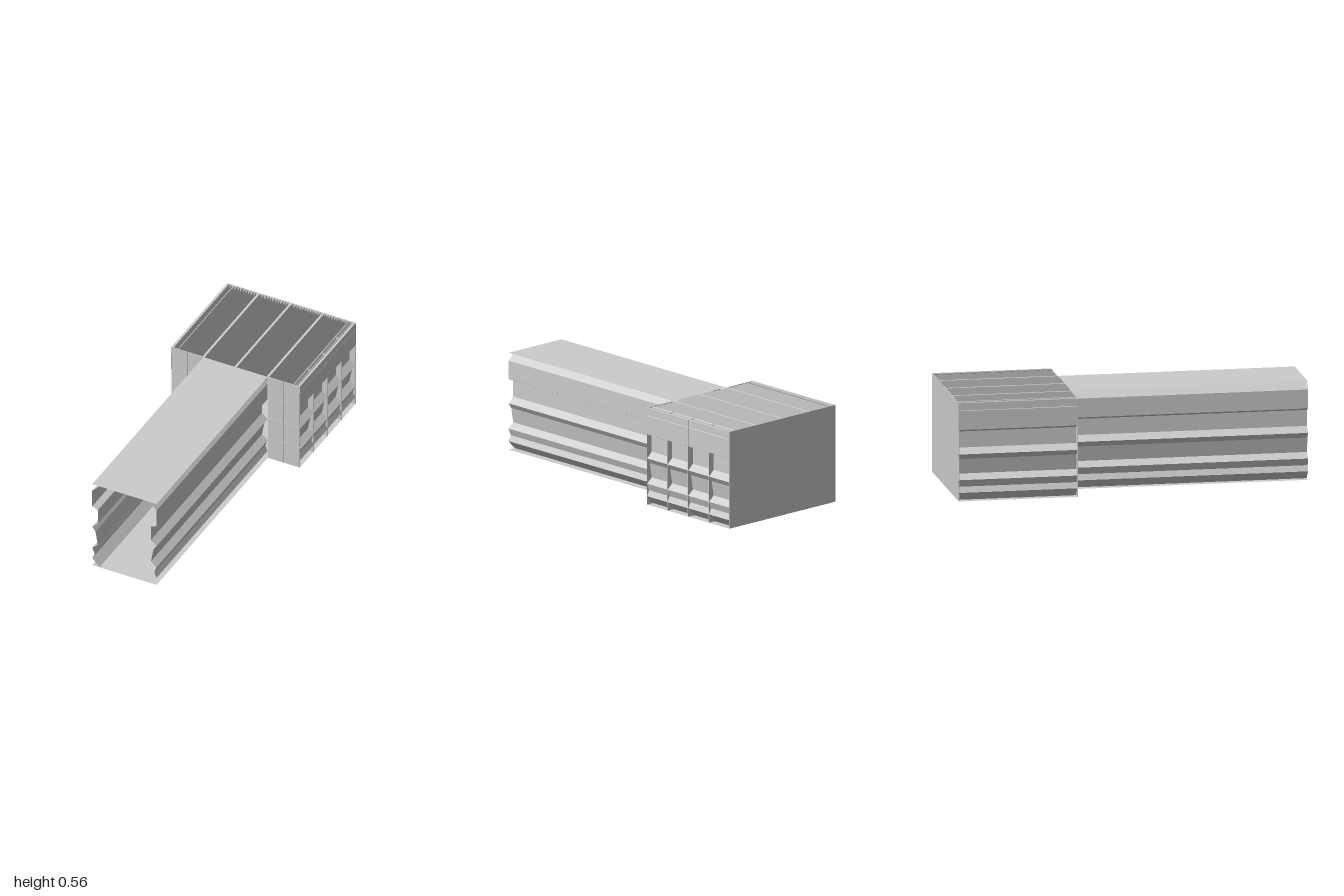
import * as THREE from 'three';

const H = 0.555, ROOM_FRONT = -0.33, BACK = -1, FRONT = 1;
const mat = new THREE.MeshStandardMaterial({ color: 0xcccccc, side: THREE.DoubleSide, flatShading: true });

// Folded wall section: [inset from the outer line, height]
const PROFILE = [
  [0.045, 0], [0, 0.048], [0.015, 0.08], [0, 0.12], [0.035, 0.15], [0.02, 0.235],
  [0, 0.265], [0.035, 0.297], [0.035, 0.388], [0, 0.403], [0, 0.51], [0.045, H],
];

function add(parent, name, geometry, x = 0, y = 0, z = 0) {
  const mesh = new THREE.Mesh(geometry, mat);
  mesh.name = name;
  mesh.position.set(x, y, z);
  parent.add(mesh);
  return mesh;
}

// Horizontal sheet between two x and two z limits
function sheet(parent, name, x0, x1, z0, z1, y) {
  const g = new THREE.PlaneGeometry(x1 - x0, z1 - z0).rotateX(-Math.PI / 2);
  return add(parent, name, g, (x0 + x1) / 2, y, (z0 + z1) / 2);
}

// Folded sheet running along z; side is +1 (left) or -1 (right)
function foldedWall(parent, name, side, outer, z0, z1) {
  const pos = [], index = [];
  PROFILE.forEach(([d, y], i) => {
    const x = side * (outer - d);
    pos.push(x, y, z0, x, y, z1);
    if (i) {
      const a = 2 * i - 2, b = a + 1, c = a + 2, e = a + 3;
      if (side > 0) index.push(a, c, b, b, c, e);
      else index.push(a, b, c, b, e, c);
    }
  });
  const g = new THREE.BufferGeometry();
  g.setAttribute('position', new THREE.Float32BufferAttribute(pos, 3));
  g.setIndex(index);
  const flat = g.toNonIndexed();
  flat.computeVertexNormals();
  return add(parent, name, flat);
}

// Grid of thin tiles in front of a backing sheet
function tiledWall(parent, name, x0, x1, z, tileZ) {
  const group = new THREE.Group();
  group.name = name;
  parent.add(group);
  add(group, 'backing', new THREE.PlaneGeometry(x1 - x0, H), (x0 + x1) / 2, H / 2, z);
  const cols = Math.round((x1 - x0) / 0.1), w = (x1 - x0) / cols, h = H / 4;
  const tile = new THREE.BoxGeometry(w - 0.003, h - 0.002, 0.004);
  for (let i = 0; i < cols; i++)
    for (let j = 0; j < 4; j++)
      add(group, 'tile', tile, x0 + (i + 0.5) * w, (j + 0.5) * h, tileZ);
}

export function createModel() {
  const model = new THREE.Group();
  model.name = 'corridorAndRoom';

  // Corridor
  const corridor = new THREE.Group();
  corridor.name = 'corridor';
  model.add(corridor);
  sheet(corridor, 'corridorFloor', -0.2, 0.2, ROOM_FRONT, FRONT, 0);
  sheet(corridor, 'corridorCeiling', -0.2, 0.2, ROOM_FRONT, FRONT, H);
  for (const side of [-1, 1]) foldedWall(corridor, 'corridorWall', side, 0.2, ROOM_FRONT, FRONT);

  // Room shell
  const room = new THREE.Group();
  room.name = 'room';
  model.add(room);
  sheet(room, 'roomFloor', -0.4, 0.4, BACK, ROOM_FRONT, 0);
  for (const side of [-1, 1]) foldedWall(room, 'roomSideWall', side, 0.4, BACK, ROOM_FRONT);
  tiledWall(room, 'backWall', -0.4, 0.4, BACK, BACK + 0.004);
  tiledWall(room, 'frontWallRight', -0.4, -0.2, ROOM_FRONT - 0.004, ROOM_FRONT - 0.002);
  tiledWall(room, 'frontWallLeft', 0.2, 0.4, ROOM_FRONT - 0.004, ROOM_FRONT - 0.002);

  // Upright ribs filling the folds of the left side wall
  const outline = PROFILE.map(([d, y]) => new THREE.Vector2(0.4 - d, y));
  outline.push(new THREE.Vector2(0.4005, H), new THREE.Vector2(0.4005, 0));
  const rib = new THREE.ExtrudeGeometry(new THREE.Shape(outline), { depth: 0.004, bevelEnabled: false });
  for (let i = 1; i < 4; i++) add(room, 'wallRib', rib, 0, 0, ROOM_FRONT - i * 0.1675 - 0.002);

  // Slatted roof: lower panel, beams and thin upright slats
  const depth = ROOM_FRONT - BACK, midZ = (ROOM_FRONT + BACK) / 2;
  sheet(room, 'roofPanel', -0.4, 0.4, BACK, ROOM_FRONT, 0.51);
  const beam = new THREE.BoxGeometry(0.014, 0.042, depth);
  const slat = new THREE.PlaneGeometry(depth, 0.042).rotateY(Math.PI / 2);
  for (let i = 0; i <= 4; i++) {
    const x = -0.4 + i * 0.2;
    add(room, 'roofBeam', beam, THREE.MathUtils.clamp(x, -0.393, 0.393), 0.534, midZ);
    if (i < 4) for (let j = 1; j < 12; j++) add(room, 'roofSlat', slat, x + j * 0.2 / 12, 0.534, midZ);
  }

  // Thin trim along the back wall inside the doorway
  const rail = new THREE.BoxGeometry(0.4, 0.005, 0.006);
  for (const y of [0.022, 0.045, 0.462, 0.507]) add(room, 'trimRail', rail, 0, y, BACK + 0.009);
  return model;
}
